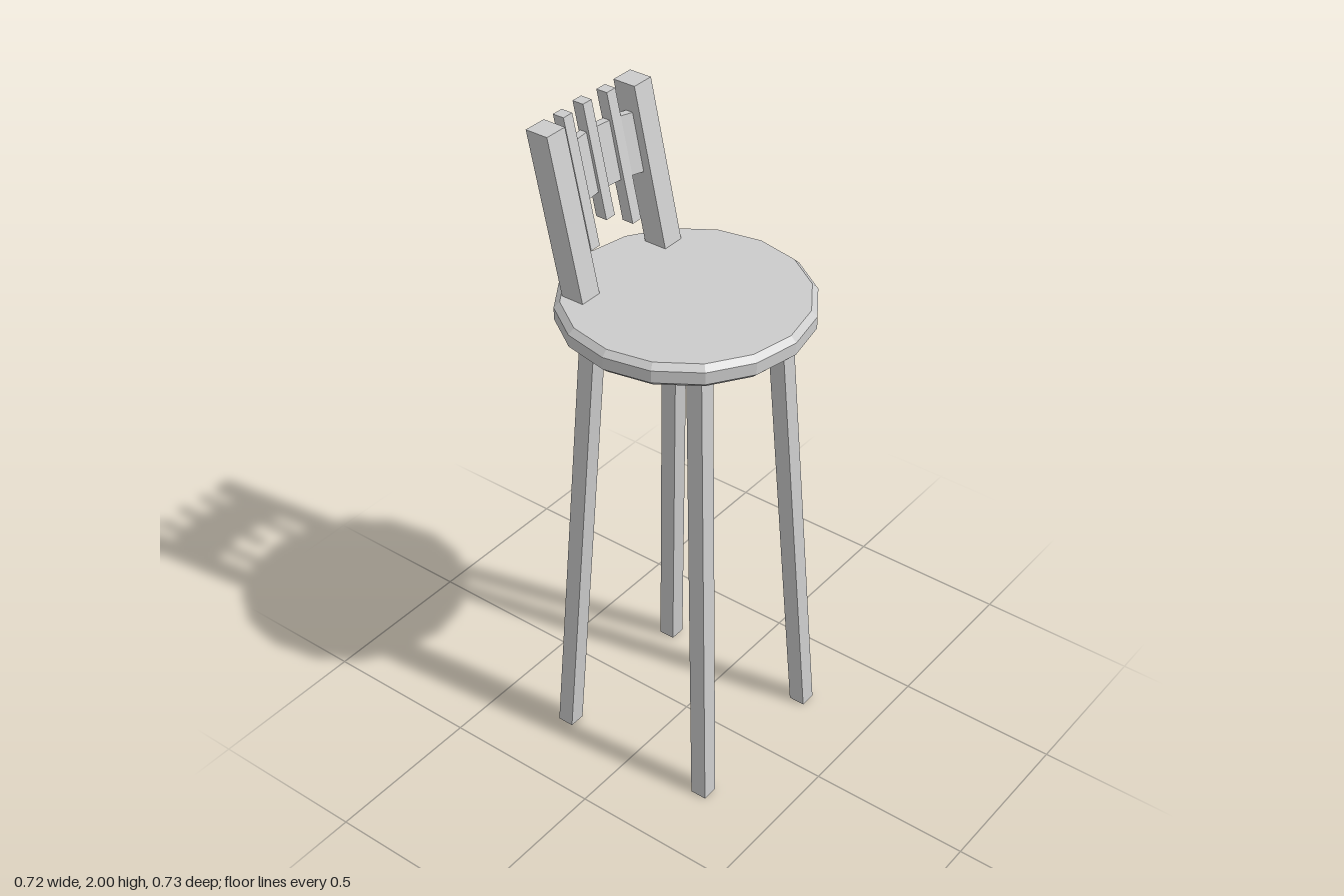
import * as THREE from 'three';

const material = new THREE.MeshStandardMaterial({ color: 0xcccccc, flatShading: true });

function addMesh(group, name, geometry) {
  const mesh = new THREE.Mesh(geometry, material);
  mesh.name = name;
  group.add(mesh);
}

// Square bar with level ends, slanted from centre [x, y, z] to centre [x, y, z]
function slantedBar(bottom, top, width, depth) {
  const geometry = new THREE.BoxGeometry(width, 1, depth);
  const a = new THREE.Vector3(...bottom), b = new THREE.Vector3(...top);
  const p = geometry.attributes.position;
  for (let i = 0; i < p.count; i++) {
    const c = a.clone().lerp(b, p.getY(i) + 0.5);
    p.setXYZ(i, c.x + p.getX(i), c.y, c.z + p.getZ(i));
  }
  geometry.computeVertexNormals();
  return geometry;
}

// Backrest board: bowed backwards in plan and leaning back
function bowedBoard() {
  const geometry = new THREE.BoxGeometry(4, 1, 1, 4, 1, 1);
  const xs = [0, 0.09, 0.15];
  const bow = [0, 0.01, 0.031];
  const p = geometry.attributes.position;
  for (let i = 0; i < p.count; i++) {
    const x = p.getX(i), k = Math.round(Math.abs(x)), up = p.getY(i) + 0.5;
    const z = -0.289 - 0.036 * up + bow[k] + (p.getZ(i) > 0 ? 0 : -0.022);
    p.setXYZ(i, Math.sign(x) * xs[k], 1.75 + 0.17 * up, z);
  }
  geometry.computeVertexNormals();
  return geometry;
}

export function createModel() {
  const model = new THREE.Group();
  model.name = 'barStool';

  // Sixteen-sided seat with chamfered rims
  const profile = [[0, 1.46], [0.345, 1.46], [0.362, 1.476], [0.362, 1.513], [0.345, 1.53], [0, 1.53]];
  addMesh(model, 'seat', new THREE.LatheGeometry(profile.map(([r, y]) => new THREE.Vector2(r, y)), 16));

  for (const [side, s] of [['left', 1], ['right', -1]]) {
    // Splayed legs
    for (const [end, e] of [['Front', 1], ['Back', -1]]) {
      addMesh(model, side + end + 'Leg',
        slantedBar([s * 0.256, 0, e * 0.258], [s * 0.18, 1.47, e * 0.18], 0.051, 0.051));
    }
    // Backrest posts and outer slats
    addMesh(model, side + 'BackPost',
      slantedBar([s * 0.181, 1.525, -0.221], [s * 0.181, 2, -0.324], 0.072, 0.072));
    addMesh(model, side + 'Slat',
      slantedBar([s * 0.09, 1.625, -0.26], [s * 0.09, 2, -0.342], 0.036, 0.036));
  }

  addMesh(model, 'middleSlat', slantedBar([0, 1.672, -0.279], [0, 2, -0.35], 0.036, 0.036));
  addMesh(model, 'backrestBoard', bowedBoard());
  return model;
}
